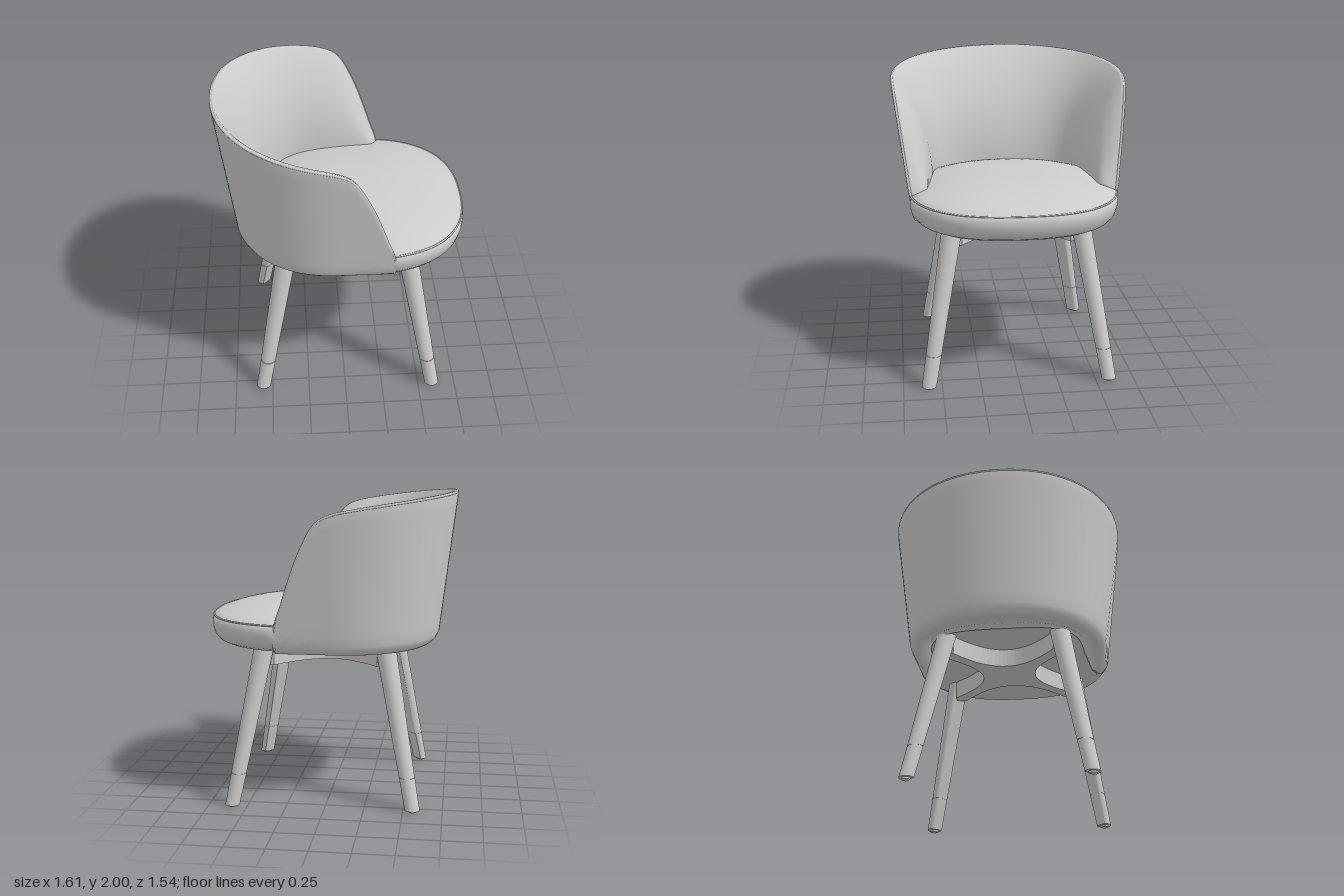
import * as THREE from 'three';
import { toCreasedNormals } from 'three/addons/utils/BufferGeometryUtils.js';

const CX = -0.05; // plan centre of the backrest curve
const BASE = 1.012; // underside of the backrest
const { lerp, clamp, smoothstep } = THREE.MathUtils;

// Skin a list of closed rings with smooth normals
function loft(rings) {
  const n = rings[0].length, pos = [], idx = [];
  rings.forEach(r => r.forEach(p => pos.push(p.x, p.y, p.z)));
  for (let i = 0; i < rings.length - 1; i++) for (let j = 0; j < n; j++) {
    const a = i * n + j, b = i * n + (j + 1) % n;
    idx.push(a, b, a + n, b, b + n, a + n);
  }
  const g = new THREE.BufferGeometry();
  g.setAttribute('position', new THREE.Float32BufferAttribute(pos, 3));
  g.setIndex(idx);
  g.computeVertexNormals();
  return g;
}

// Radius of a superellipse at a polar angle
const radius = (t, a, b, n) =>
  Math.pow(Math.pow(Math.abs(Math.cos(t)) / a, n) + Math.pow(Math.abs(Math.sin(t)) / b, n), -1 / n);

// Plan point of a backrest column: an arc behind, straight arms in front
function plan(col, a, w, n) {
  if (col.x !== undefined) return [col.x, w];
  const r = radius(col.t, a, w, n);
  return [CX - r * Math.cos(col.t), r * Math.sin(col.t)];
}

function outer(col, y, inset = 0) {
  const round = 0.045 * Math.pow(Math.max(0, 1 - (y - BASE) / 0.07), 2) + inset;
  const a = CX + 0.70 + (y - 1.1) * 0.12 - round;
  return plan(col, a, 0.662 + (y - 1.1) * 0.141 - round, 2.15);
}

// The padding is steep and thick at the seat and rolls over to a thin rim
function inner(col, y) {
  const o = outer(col, y, 0.025);
  const x = col.x ?? CX;
  const w = 0.512 + 0.15 * (x - CX) + 0.1 * Math.pow(Math.max(0, (x - 0.2) / 0.1), 4);
  const i = plan(col, 0.42, w, 3.6);
  if (col.x === undefined) i[1] *= 1 + 0.15 * (i[0] - CX);
  i[1] = Math.min(i[1], o[1]);
  const g = Math.pow(clamp((y - 1.22) / Math.max(col.h - 1.22, 0.01), 0, 1), 1.9);
  return [lerp(i[0], o[0], g), lerp(i[1], o[1], g)];
}

// Half of the columns, from the middle of the back to the arm end
function halfColumns() {
  const cols = [];
  for (let i = 0; i < 24; i++) {
    const t = i / 24 * Math.PI / 2;
    cols.push({ t, h: 1.88 + 0.12 * Math.pow(Math.cos(t), 0.75) });
  }
  const rim = new THREE.CatmullRomCurve3([
    [-0.05, 1.88], [0, 1.856], [0.05, 1.805], [0.1, 1.715], [0.15, 1.605], [0.2, 1.47],
    [0.25, 1.32], [0.28, 1.24], [0.295, 1.17], [0.3, 1.05],
  ].map(p => new THREE.Vector3(p[0], p[1], 0)));
  rim.getSpacedPoints(30).forEach(p => cols.push({ x: p.x, h: p.y }));
  return cols;
}

// Seat outline, wider where it comes out in front of the arms
function seatRing(scale, y) {
  const ring = [];
  for (let j = 0; j < 96; j++) {
    const t = j / 96 * Math.PI * 2, front = Math.cos(t) >= 0;
    const r = scale * radius(t, front ? 0.705 : 0.66, 0.65, front ? 2.5 : 2.3);
    const x = 0.1 + r * Math.cos(t);
    ring.push(new THREE.Vector3(x, y, -r * Math.sin(t) * (1 + 0.055 * smoothstep(x, 0.22, 0.31))));
  }
  return ring;
}

export function createModel() {
  const group = new THREE.Group();
  const grey = new THREE.MeshStandardMaterial({ color: 0xcccccc, side: THREE.DoubleSide });
  grey.name = 'light grey';
  const add = (name, geometry) => {
    const m = new THREE.Mesh(geometry, grey);
    m.name = name;
    group.add(m);
  };

  // Wraparound backrest
  const half = halfColumns();
  const all = [
    ...half.slice().reverse().map(c => [c, 1]),
    ...half.slice(1).map(c => [c, -1]),
  ];
  const up = [0, 0.015, 0.035, 0.07, 0.15, 0.3, 0.45, 0.6, 0.75, 0.9, 0.98];
  const down = [1, 0.99, 0.97, 0.94, 0.9, 0.82, 0.72, 0.62, 0.52, 0.42, 0.32, 0.22, 0];
  add('backrest', loft(all.map(([c, side]) => {
    const at = (s, fn) => {
      const y = BASE + (c.h - BASE) * s;
      const [x, z] = fn(c, y);
      return new THREE.Vector3(x, y, z * side);
    };
    return [...up.map(s => at(s, outer)), at(1, (k, y) => outer(k, y, 0.01)), ...down.map(s => at(s, inner))];
  })));

  // Piping along the backrest rim
  const rimPoints = all.map(([c, side]) => {
    const [x, z] = outer(c, c.h, 0.011);
    return new THREE.Vector3(x, c.h - 0.008, z * side);
  });
  add('backrestPiping', new THREE.TubeGeometry(new THREE.CatmullRomCurve3(rimPoints), 200, 0.009, 8));

  // Seat cushion with a crowned top
  const rings = [[0.001, 1.018], [0.8, 1.018], [0.88, 1.024], [0.94, 1.045], [0.98, 1.08],
    [1, 1.13], [1, 1.165], [0.985, 1.2]].map(([s, y]) => seatRing(s, y));
  for (let i = 1; i <= 14; i++) {
    const s = Math.max(0.001, 0.985 * (1 - i / 14));
    rings.push(seatRing(s, 1.2 + 0.1 * (1 - Math.pow(s / 0.985, 2.7))));
  }
  add('seatCushion', loft(rings));
  add('seatPiping', new THREE.TubeGeometry(
    new THREE.CatmullRomCurve3(seatRing(0.985, 1.198), true), 192, 0.006, 8, true));

  // Cross-shaped frame with concave sides
  const F = 0.41, FZ = 0.415, R = -0.38, RZ = 0.385, e = 0.065;
  const s = new THREE.Shape();
  s.moveTo(F, FZ - e);
  s.bezierCurveTo(0.1, 0.1, 0.1, -0.1, F, -FZ + e);
  s.lineTo(F, -FZ);
  s.lineTo(F - e, -FZ);
  s.bezierCurveTo(0.1, -0.1, -0.07, -0.1, R + e, -RZ);
  s.lineTo(R, -RZ);
  s.lineTo(R, -RZ + e);
  s.bezierCurveTo(-0.07, -0.1, -0.07, 0.1, R, RZ - e);
  s.lineTo(R, RZ);
  s.lineTo(R + e, RZ);
  s.bezierCurveTo(-0.07, 0.1, 0.1, 0.1, F - e, FZ);
  s.lineTo(F, FZ);
  s.closePath();
  const frame = new THREE.ExtrudeGeometry(s, { depth: 0.122, bevelEnabled: false, curveSegments: 24 });
  frame.rotateX(Math.PI / 2).translate(0, 1.02, 0);
  add('underFrame', frame);

  // Splayed tapering legs, round outside and flat on the side facing the middle
  const legs = [
    ['front', 0.41, 0.415, 0.595, 0.587],
    ['back', -0.373, 0.37, -0.562, 0.55],
  ];
  for (const [name, tx, tz, bx, bz] of legs) for (const side of [1, -1]) {
    const kx = tx - bx, kz = (tz - bz) * side;
    const dx = Math.sign(bx) * Math.SQRT1_2, dz = side * Math.SQRT1_2;
    const part = (label, r1, r0, y0, y1) => {
      const g = new THREE.CylinderGeometry(r1, r0, y1 - y0, 32);
      const p = g.attributes.position;
      for (let i = 0; i < p.count; i++) {
        const x = p.getX(i), z = p.getZ(i);
        const cut = Math.max(0, -0.62 * Math.hypot(x, z) - (x * dx + z * dz));
        p.setXYZ(i, x + cut * dx, p.getY(i), z + cut * dz);
      }
      g.translate(0, (y0 + y1) / 2, 0);
      g.applyMatrix4(new THREE.Matrix4().set(1, kx, 0, bx, 0, 1, 0, 0, 0, kz, 1, bz * side, 0, 0, 0, 1));
      add(name + label, toCreasedNormals(g, 0.6));
    };
    part('Leg', 0.066, 0.051, 0.22, 1.02);
    part('LegTip', 0.051, 0.048, 0.012, 0.216);
    part('LegSeam', 0.048, 0.048, 0.214, 0.222);
    part('FootPad', 0.028, 0.028, 0, 0.013);
  }
  return group;
}
